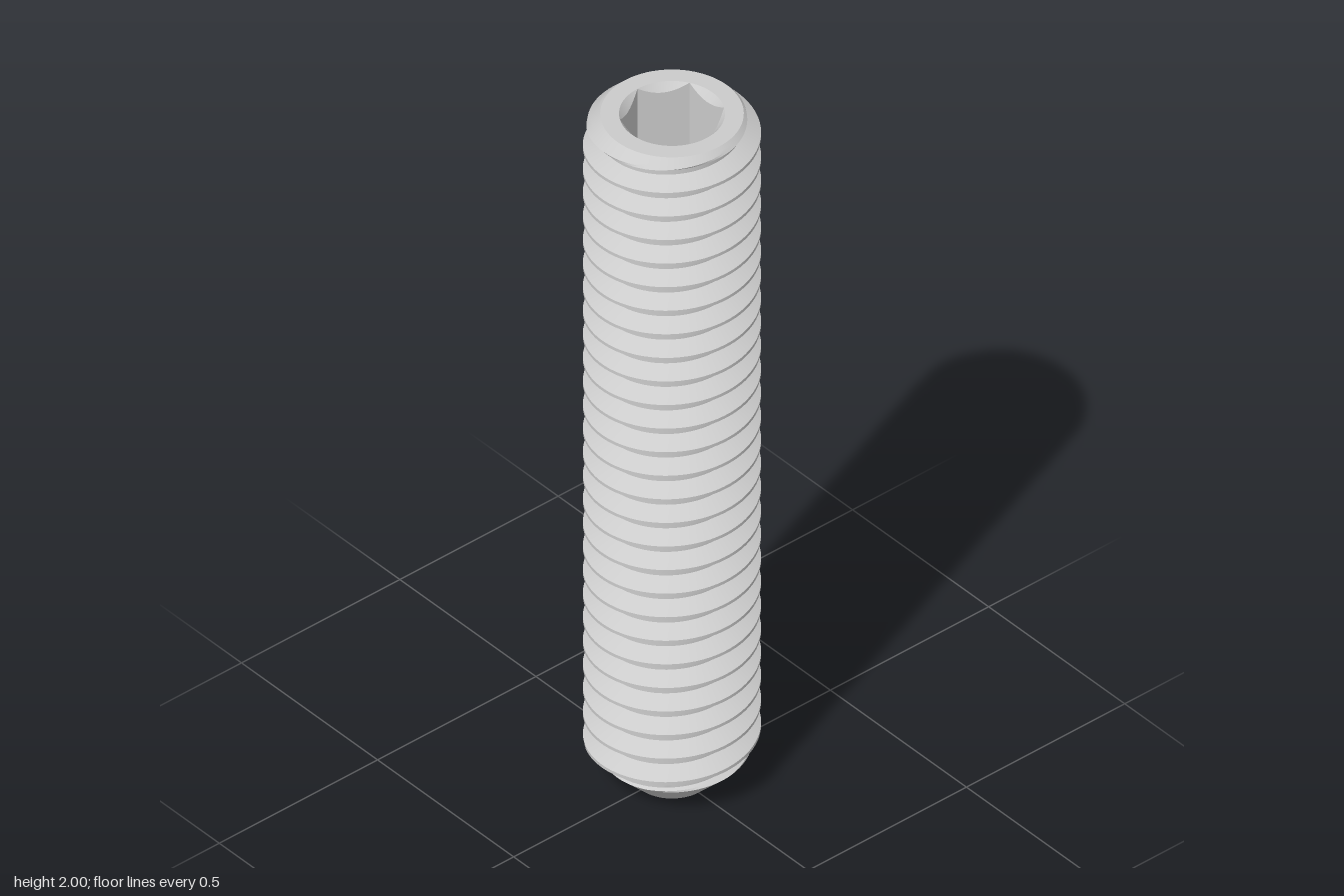
import * as THREE from 'three';
import { toCreasedNormals } from 'three/addons/utils/BufferGeometryUtils.js';

const HEIGHT = 2, PITCH = 1 / 14, SEGMENTS = 72;
const CREST = 0.2135, ROOT = 0.171;          // thread radii
const TIP = 0.098, RIM = 0.172;              // end face radii
const SOCKET = 0.127, FLAT = 0.11, SOCKET_DEPTH = 0.28;

const material = new THREE.MeshStandardMaterial({ color: 0xcccccc });

// Sweeps a profile, a list of [radius, y] that may vary with angle, around the axis
function sweep(name, profileAt) {
  const pos = [];
  const columns = [];
  for (let j = 0; j <= SEGMENTS; j++) {
    const a = (j / SEGMENTS) * Math.PI * 2;
    columns.push(profileAt(a).map(([r, y]) => new THREE.Vector3(r * Math.cos(a), y, -r * Math.sin(a))));
  }
  const triangle = new THREE.Triangle();
  const add = (a, b, c) => {
    triangle.set(a, b, c);
    if (triangle.getArea() < 1e-9) return;   // collapsed at an end or on the axis
    for (const v of [a, b, c]) pos.push(v.x, v.y, v.z);
  };
  for (let j = 0; j < SEGMENTS; j++) {
    const p = columns[j], q = columns[j + 1];
    for (let i = 0; i < p.length - 1; i++) {
      add(p[i], q[i], q[i + 1]);
      add(p[i], q[i + 1], p[i + 1]);
    }
  }
  const geometry = new THREE.BufferGeometry();
  geometry.setAttribute('position', new THREE.Float32BufferAttribute(pos, 3));
  const mesh = new THREE.Mesh(toCreasedNormals(geometry, 0.4), material);
  mesh.name = name;
  return mesh;
}

// One turn of thread as [offset in pitches, radius]: crest, flank, root, flank
function threadTurn() {
  const corners = [[-1 / 16, CREST], [1 / 16, CREST], [3 / 8, ROOT], [5 / 8, ROOT], [15 / 16, CREST]];
  const steps = [1, 5, 2, 5];
  const out = [];
  steps.forEach((n, s) => {
    const [o0, r0] = corners[s], [o1, r1] = corners[s + 1];
    for (let i = 0; i < n; i++) out.push([o0 + ((o1 - o0) * i) / n, r0 + ((r1 - r0) * i) / n]);
  });
  return out;
}

export function createModel() {
  const group = new THREE.Group();
  group.name = 'setScrew';

  // Right-hand thread, cut by the 45 degree cones at both ends
  const turn = threadTurn();
  group.add(sweep('threadedShank', (a) => {
    const profile = [];
    for (let k = -2; k <= HEIGHT / PITCH + 1; k++) {
      for (const [offset, r] of turn) {
        const y = THREE.MathUtils.clamp(PITCH * (a / (Math.PI * 2) + k + offset), 0, HEIGHT);
        const end = y <= 0 ? TIP : y >= HEIGHT ? RIM : r;
        profile.push([Math.min(end, r, TIP + y, RIM + HEIGHT - y), y]);
      }
    }
    // both ends close exactly on the end faces
    return [[TIP, 0], ...profile.map(([r, y]) => (y >= HEIGHT ? [RIM, y] : y <= 0 ? [TIP, y] : [r, y])), [RIM, HEIGHT]];
  }));

  // Top face with a countersunk hexagonal socket
  group.add(sweep('hexSocket', (a) => {
    const sector = Math.PI / 3;
    const local = ((a + 1e-9) % sector) - sector / 2;
    const r = Math.min(SOCKET, FLAT / Math.cos(local));
    return [
      [RIM, HEIGHT],
      [SOCKET, HEIGHT],
      [r, HEIGHT - (SOCKET - r) * 1.2],
      [r, HEIGHT - SOCKET_DEPTH],
      [0, HEIGHT - SOCKET_DEPTH],
    ];
  }));

  // Hollow cone in the tip
  group.add(sweep('cupPoint', () => [[0, 0.057], [TIP, 0]]));

  return group;
}
